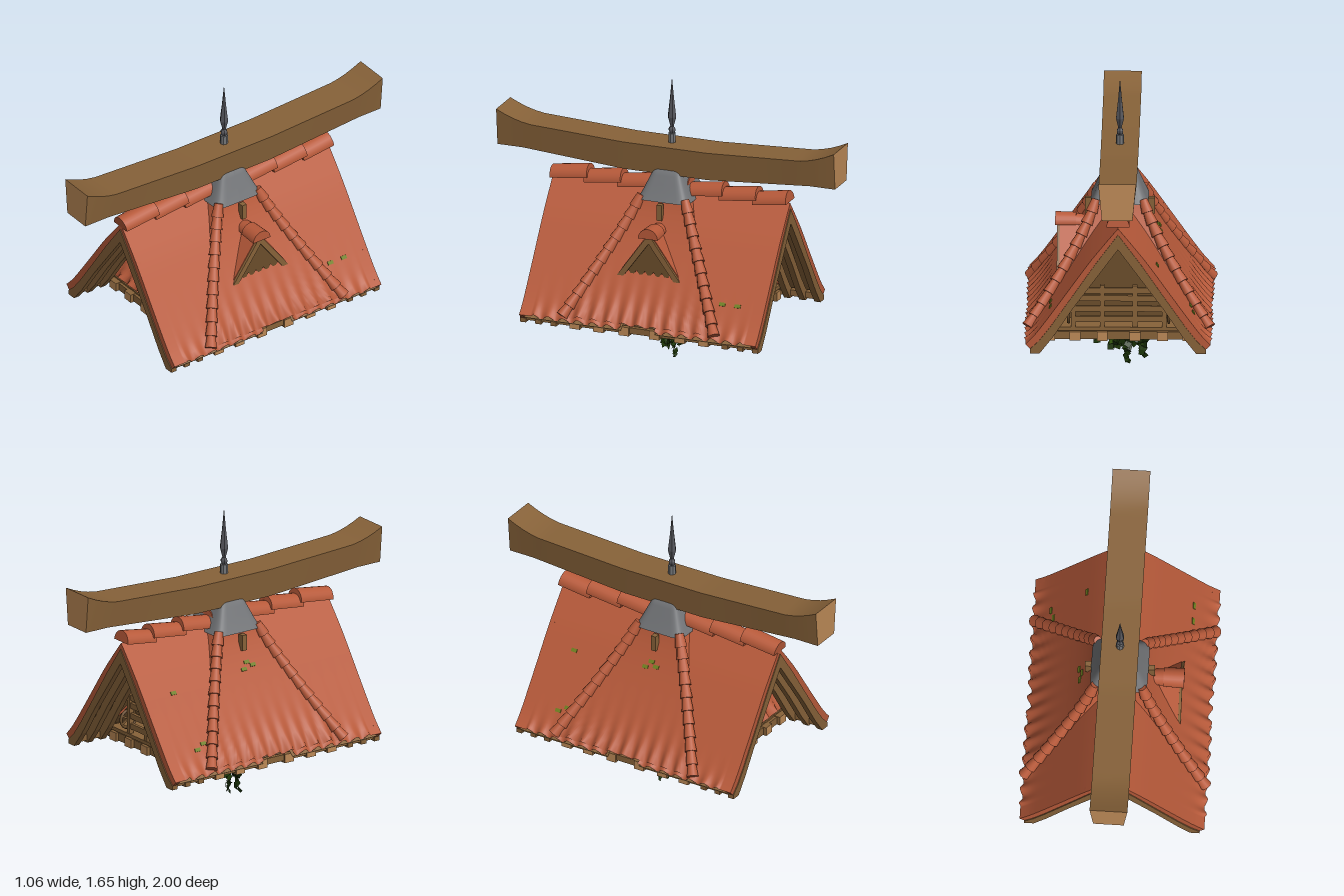
import * as THREE from 'three';
import { mergeGeometries } from 'three/addons/utils/BufferGeometryUtils.js';

const mat = (name, color, side = THREE.FrontSide) => {
  const m = new THREE.MeshStandardMaterial({ color, side });
  m.name = name;
  return m;
};

export function createModel() {
  const root = new THREE.Group();
  root.name = 'roof';
  const D = THREE.DoubleSide;
  const tile = mat('red tile', 0xb85a3a, D);
  const wood = mat('brown wood', 0x876239, D);
  const endWood = mat('light end wood', 0xbd8a57);
  const darkWood = mat('dark wood', 0x6b4d2b, D);
  const metal = mat('grey metal', 0x737578, D);
  const iron = mat('dark iron', 0x55565c);
  const ivyDark = mat('dark ivy', 0x1d3707, D);
  const ivyLight = mat('light ivy', 0x3c6412, D);
  const moss = mat('moss', 0x6f8020);

  const add = (name, geo, material, parent = root) => {
    const m = new THREE.Mesh(geo, material);
    m.name = name;
    parent.add(m);
    return m;
  };
  const box = (name, w, h, d, x, y, z, material = wood, parent = root) => {
    const m = add(name, new THREE.BoxGeometry(w, h, d), material, parent);
    m.position.set(x, y, z);
    return m;
  };
  const shapeOf = pts => new THREE.Shape(pts.map(p => new THREE.Vector2(...p)));
  const slab = (pts, depth) => new THREE.ExtrudeGeometry(shapeOf(pts), { depth, bevelEnabled: false });
  // curved sheet from a rule f(u, v) -> [x, y, z]
  const sheet = (name, f, nu, nv, material) => {
    const pos = [], idx = [];
    for (let j = 0; j <= nv; j++) for (let i = 0; i <= nu; i++) pos.push(...f(i / nu, j / nv));
    for (let j = 0; j < nv; j++) for (let i = 0; i < nu; i++) {
      const a = j * (nu + 1) + i, b = a + nu + 1;
      idx.push(a, b, a + 1, a + 1, b, b + 1);
    }
    const g = new THREE.BufferGeometry();
    g.setAttribute('position', new THREE.Float32BufferAttribute(pos, 3));
    g.setIndex(idx);
    g.computeVertexNormals();
    return add(name, g, material);
  };
  // tapered round tile from a to b, optionally only part of the circle
  const roundTile = (name, a, b, ra, rb, start = 0, arc = Math.PI * 2) => {
    const d = new THREE.Vector3().subVectors(b, a);
    const m = add(name, new THREE.CylinderGeometry(rb, ra, d.length(), 12, 1, false, start, arc), tile);
    m.position.copy(a).add(b).multiplyScalar(0.5);
    m.quaternion.setFromUnitVectors(new THREE.Vector3(0, 1, 0), d.normalize());
  };
  const wave = (s, t) => 0.013 * Math.cos((s * 2 * Math.PI) / 0.088) * t ** 8;

  // gable wings, with flared eaves and a wooden underside
  const slope = new THREE.SplineCurve([[0, 1.02], [0.145, 0.84], [0.276, 0.655], [0.393, 0.49], [0.457, 0.405], [0.508, 0.35]]
    .map(p => new THREE.Vector2(...p)));
  // half outline of the gable boards: outer edge, foot, inner edge
  const outer = [[0.128, 0.81], [0.25, 0.63], [0.37, 0.455], [0.435, 0.37], [0.483, 0.325]];
  const half = [...outer, [0.483, 0.3], [0.43, 0.3], [0.36, 0.39], [0.24, 0.57]];
  for (const sz of [1, -1]) for (const sx of [1, -1]) {
    sheet('gableTiles', (u, v) => {
      const p = slope.getPoint(v), z = 0.1 + 0.6 * u, w = z > 0.62 ? 0 : wave(z, v);
      return [sx * (p.x + w * 0.7), p.y + w, sz * z];
    }, 64, 16, tile);
    sheet('gableLining', (u, v) => {
      const p = slope.getPoint(v);
      return [sx * p.x * 0.985, p.y - 0.035 + 0.02 * v, sz * (0.1 + 0.59 * u)];
    }, 4, 16, wood);
    const rim = [...slope.getPoints(10).map(p => [sx * p.x, p.y]), ...outer.slice().reverse().map(([x, y]) => [sx * x, y]), [0, 0.985]];
    add('gableTileEdge', slab(rim, 0.03), tile).position.z = sz > 0 ? 0.67 : -0.7;
  }

  // gable boards and the rafters behind them
  const aFrame = [[0, 0.985], ...half, [0, 0.9], ...half.slice().reverse().map(([x, y]) => [-x, y])];
  for (const z of [0.67, 0.58, 0.49]) for (const s of [1, -1]) {
    add(z > 0.6 ? 'gableBoard' : 'rafter', slab(aFrame, 0.035), wood).position.z = s > 0 ? z : -z - 0.035;
  }

  // central hipped roof, open at the rear inside the gable
  const hipX = t => 0.13 + 0.37 * t ** 1.22, hipZ = t => 0.13 + 0.32 * t ** 1.1, hipY = t => 1 - 0.63 * t;
  const front = k => (u, v) => {
    const x = (2 * u - 1) * hipX(v), w = k ? 0 : wave(x, v);
    return [x, hipY(v) + w - k * 0.5, hipZ(v) - k + w];
  };
  sheet('hipFrontTiles', front(0), 80, 16, tile);
  sheet('hipFrontLining', front(0.025), 4, 12, darkWood);
  for (const s of [1, -1]) {
    const side = k => (u, v) => {
      const z = (2 * u - 1) * hipZ(v), w = k ? 0 : wave(z, v);
      return [s * (hipX(v) - k + w), hipY(v) + w - k * 0.5, z];
    };
    sheet('hipSideTiles', side(0), 80, 16, tile);
    sheet('hipSideLining', side(0.025), 4, 12, darkWood);
    sheet('hipRearTiles', (u, v) => {
      const y = hipY(v), gx = (1 - y) * 0.7;
      return [s * (gx + u * (hipX(v) - gx)), y, -hipZ(v)];
    }, 4, 12, tile);
    // overlapping tiles down the corners
    for (const q of [1, -1]) for (let i = 0; i < 11; i++) {
      const at = t => new THREE.Vector3(s * hipX(t), hipY(t) + 0.003, q * hipZ(t));
      roundTile('hipTile', at(i / 11), at(Math.min((i + 1.15) / 11, 1)), 0.023, 0.034);
    }
  }

  // ridge tiles, each tilted over the next
  for (let i = 0; i < 7; i++) {
    const z = 0.7 - i * 0.2;
    roundTile('ridgeTile', new THREE.Vector3(0, 1, z), new THREE.Vector3(0, 1.028, Math.max(z - 0.22, -0.7)), 0.06, 0.064, -Math.PI / 2, Math.PI);
  }

  // metal cap with rounded corners
  const capW = [[0.158, 0.155], [0.137, 0.132], [0.119, 0.112], [0.1, 0.092], [0.082, 0.073], [0, 0]];
  const bulge = c => Math.sign(c) * Math.abs(c) ** 0.3;
  sheet('metalCap', (u, v) => {
    const k = Math.round(v * 5), a = u * Math.PI * 2;
    return [capW[k][0] * bulge(Math.cos(a)), 0.98 + Math.min(k, 4) * 0.045, capW[k][1] * bulge(Math.sin(a))];
  }, 40, 5, metal);

  // great curved beam with light cut ends
  const beam = new THREE.BoxGeometry(2, 1, 2, 1, 1, 40);
  const bp = beam.attributes.position;
  for (let i = 0; i < bp.count; i++) {
    const z = bp.getZ(i), a = Math.abs(z), up = bp.getY(i) > 0;
    const rise = THREE.MathUtils.clamp((a - 0.25) / 0.6, 0, 1);
    const top = 1.283 + 0.03 * rise + 0.062 * THREE.MathUtils.clamp((a - 0.8) / 0.2, 0, 1) ** 1.6;
    bp.setXYZ(i, bp.getX(i) * (up ? 0.104 : 0.084), up ? top : 1.12 + 0.045 * rise, z);
  }
  beam.computeVertexNormals();
  add('ridgeBeam', beam, [wood, wood, wood, wood, endWood, endWood]);

  // spire
  const lathe = (pts, n) => {
    const g = new THREE.LatheGeometry(pts.map(p => new THREE.Vector2(...p)), n).toNonIndexed();
    g.computeVertexNormals();
    return g;
  };
  add('spireBase', lathe([[0.022, 1.27], [0.022, 1.335], [0, 1.335]], 8), metal);
  add('spire', lathe([[0.011, 1.33], [0.02, 1.35], [0.02, 1.36], [0.01, 1.375], [0.025, 1.43], [0.013, 1.53], [0, 1.66]], 6), iron);

  // floor frame with protruding joist ends
  for (const s of [1, -1]) {
    box('wallPlate', 0.04, 0.035, 1.38, s * 0.455, 0.33, 0);
    for (const r of [0.42, 0.29]) {
      box('frameBeam', 0.05, 0.045, 2 * r, s * r, 0.335, 0);
      box('frameBeam', 2 * r + 0.05, 0.045, 0.05, 0, 0.335, s * r);
    }
    for (const p of [-0.38, -0.24, -0.09, 0.09, 0.24, 0.38]) {
      box('sideJoist', 0.21, 0.05, 0.06, s * 0.38, 0.325, p, [endWood, endWood, wood, wood, wood, wood]);
      box('endJoist', 0.06, 0.05, 0.21, p, 0.325, s * 0.375, [wood, wood, wood, wood, endWood, endWood]);
    }
    box('crossBeam', 0.04, 0.04, 0.58, s * 0.12, 0.345, 0);
    box('endSill', 0.9, 0.045, 0.03, 0, 0.325, s * 0.445);
  }

  // small dormer on the left slope
  const dormer = new THREE.Group();
  dormer.name = 'dormer';
  root.add(dormer);
  const poly = (name, pts, depth, x, material) => {
    add(name, slab(pts, depth).rotateY(Math.PI / 2), material, dormer).position.x = x;
  };
  poly('dormerTiles', [[0, 0.865], [0.192, 0.595], [0.17, 0.595], [0, 0.835], [-0.17, 0.595], [-0.192, 0.595]], 0.18, 0.15, tile);
  poly('dormerBoards', [[0, 0.855], [0.188, 0.595], [0.15, 0.595], [0, 0.8], [-0.15, 0.595], [-0.188, 0.595]], 0.025, 0.32, wood);
  for (let i = -2; i <= 2; i++) {
    const z = i * 0.05, h = q => 0.82 - Math.abs(q) * 1.36;
    poly('dormerPicket', [[z - 0.025, h(z - 0.025)], [z, h(z)], [z + 0.025, h(z + 0.025)], [z + 0.025, 0.635], [z, 0.6], [z - 0.025, 0.635]], 0.012, 0.322, darkWood);
  }
  roundTile('dormerRidge', new THREE.Vector3(0.18, 0.825, 0), new THREE.Vector3(0.26, 0.83, 0), 0.045, 0.05, Math.PI, Math.PI);
  roundTile('dormerRidge', new THREE.Vector3(0.24, 0.83, 0), new THREE.Vector3(0.355, 0.83, 0), 0.054, 0.058, Math.PI, Math.PI);

  // wooden pegs below the cap
  for (const s of [1, -1]) box('sidePeg', 0.035, 0.09, 0.03, s * 0.175, 0.93, 0);
  box('frontPeg', 0.035, 0.09, 0.03, 0, 0.865, 0.22, darkWood);

  // open loft with a balcony in the rear gable
  const loft = new THREE.Group();
  loft.name = 'rearLoft';
  root.add(loft);
  add('loftWall', slab([[-0.42, 0.36], [0.42, 0.36], [0, 0.97]], 0.02), darkWood, loft).position.z = -0.3;
  box('loftFloor', 0.84, 0.02, 0.2, 0, 0.366, -0.37, wood, loft);
  for (const y of [0.42, 0.48, 0.54, 0.585]) box('balconyRail', 0.52, 0.032, 0.018, 0, y, -0.455, wood, loft);
  for (const s of [1, -1]) {
    for (const x of [0.09, 0.25]) box('balconyPost', 0.026, 0.25, 0.026, s * x, 0.49, -0.455, wood, loft);
    box('balconySideRail', 0.018, 0.03, 0.16, s * 0.25, 0.585, -0.38, wood, loft);
    const wheel = add('balconyWheel', new THREE.TorusGeometry(0.05, 0.009, 6, 16), darkWood, loft);
    wheel.position.set(s * 0.275, 0.45, -0.45);
    wheel.rotation.y = Math.PI / 2;
    for (let i = 0; i < 3; i++) {
      box('wheelSpoke', 0.01, 0.1, 0.01, s * 0.275, 0.45, -0.45, wood, loft).rotation.x = (i * Math.PI) / 3;
    }
  }

  // moss flecks lying on the tiles: side, on the hip, height fraction, z
  for (const [s, hip, t, z] of [[1, false, 0.56, -0.45], [1, false, 0.56, -0.54], [-1, true, 0.28, 0], [-1, true, 0.31, 0.035],
    [-1, true, 0.33, -0.03], [-1, false, 0.6, -0.43], [-1, false, 0.64, -0.48], [-1, false, 0.3, -0.5]]) {
    const p = slope.getPoint(t);
    box('mossFleck', 0.02, 0.009, 0.035, s * (hip ? hipX(t) : p.x), hip ? hipY(t) : p.y, z, moss).rotation.z = -s * 0.96;
  }
  for (const x of [-0.042, 0.042]) box('mossFleck', 0.04, 0.018, 0.009, x, 0.815, 0.222, moss);

  // hanging ivy: strands of small pointed leaves
  let seed = 7;
  const rnd = () => (seed = (seed * 16807) % 2147483647) / 2147483647;
  const leaves = [[], []];
  const strands = [[-0.2, 0.22], [-0.16, 0.19], [-0.13, 0.05], [-0.09, 0.13], [-0.04, 0.02], [0, 0.12], [0.04, 0.1], [0.09, 0.2], [0.12, 0.15]];
  for (const [x, low] of strands) for (let y = 0.32; y > low; y -= 0.0105) {
    const t = (0.32 - y) / 0.3, spread = 0.055 * (1 - t) + 0.012;
    const g = new THREE.CircleGeometry(0.042 - 0.025 * t, t > 0.5 ? 4 : 3);
    g.rotateY((rnd() - 0.5) * 1.3).rotateX((rnd() - 0.5) * 1.3).rotateZ(rnd() * 6);
    g.translate(x + (rnd() - 0.5) * spread, y, (rnd() - 0.5) * 0.04 * (1 - 0.4 * t) - 0.005);
    leaves[rnd() > 0.92 ? 1 : 0].push(g);
  }
  add('ivy', mergeGeometries(leaves[0]), ivyDark);
  add('ivyTips', mergeGeometries(leaves[1]), ivyLight);
  return root;
}
